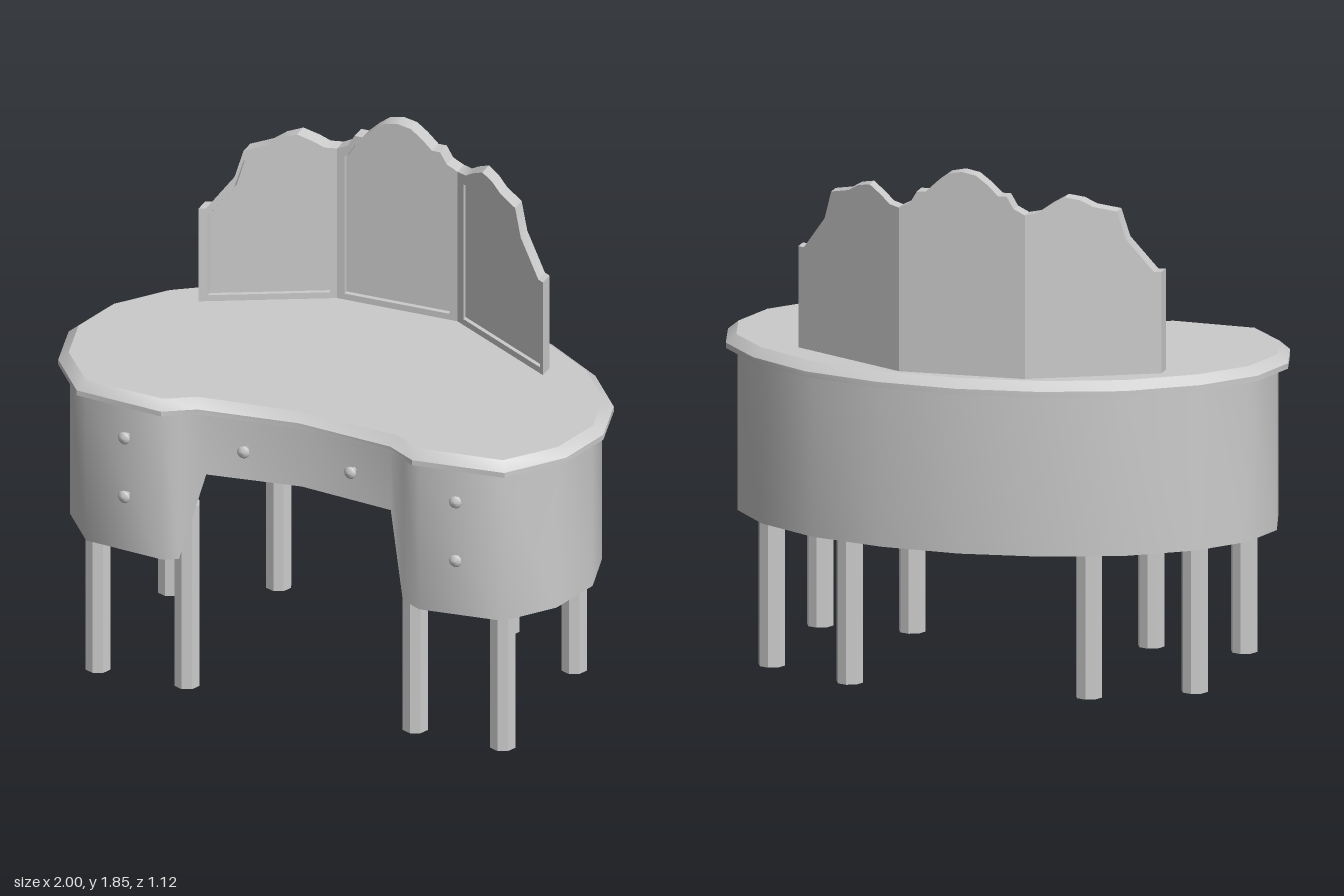
import * as THREE from 'three';
import { toCreasedNormals, mergeGeometries } from 'three/addons/utils/BufferGeometryUtils.js';

const material = new THREE.MeshStandardMaterial({ color: 0xcccccc });

function addMesh(parent, name, geometry) {
  const mesh = new THREE.Mesh(geometry, material);
  mesh.name = name;
  parent.add(mesh);
  return mesh;
}

// Half outline from back centre to front centre, closed by mirroring in x.
function mirrorLoop(half) {
  const other = half.slice(1, -1).reverse().map(([x, ...rest]) => [-x, ...rest]);
  return [...half, ...other];
}

// Collects triangles into a geometry.
function triangleBuilder() {
  const data = [];
  const tri = (a, b, c) => data.push(...a, ...b, ...c);
  const quadBand = (low, high) => low.forEach((p, i) => {
    const j = (i + 1) % low.length;
    tri(p, high[i], high[j]);
    tri(p, high[j], low[j]);
  });
  const build = (crease) => {
    const g = new THREE.BufferGeometry();
    g.setAttribute('position', new THREE.Float32BufferAttribute(data, 3));
    return toCreasedNormals(g, crease);
  };
  return { tri, quadBand, build };
}

// Kidney-shaped slab with a bevelled edge and a flat top.
function tabletop() {
  const outer = mirrorLoop([[0, -0.56], [0.29, -0.53], [0.57, -0.44], [0.8, -0.28], [0.95, -0.09],
    [1, 0.12], [0.95, 0.33], [0.8, 0.52], [0.47, 0.555], [0.36, 0.49], [0, 0.45]]);
  const inner = mirrorLoop([[0, -0.523], [0.29, -0.493], [0.56, -0.402], [0.78, -0.25], [0.915, -0.08],
    [0.963, 0.12], [0.915, 0.32], [0.78, 0.487], [0.48, 0.517], [0.375, 0.455], [0, 0.42]]);
  const ring = (t, y) => outer.map(([x, z], i) =>
    [x + (inner[i][0] - x) * t, y, z + (inner[i][1] - z) * t]);
  const rings = [ring(1.2, 1.083), ring(0, 1.083), ring(0, 1.102), ring(1, 1.132)];
  const b = triangleBuilder();
  for (let i = 0; i < rings.length - 1; i++) b.quadBand(rings[i], rings[i + 1]);
  const top = rings[rings.length - 1];
  top.forEach((p, i) => b.tri([0, 1.132, 0], top[(i + 1) % top.length], p));
  return b.build(0.55);
}

// Curved cabinet wall with a kneehole and a sloping underside: [x, z, bottom y].
function cabinet() {
  const half = [[0, -0.517, 0.51], [0.285, -0.487, 0.51], [0.555, -0.403, 0.51], [0.775, -0.255, 0.51],
    [0.91, -0.08, 0.51], [0.96, 0.12, 0.51], [0.91, 0.32, 0.51], [0.78, 0.485, 0.51],
    [0.48, 0.517, 0.51], [0.4, 0.474, 0.51], [0.345, 0.45, 0.835], [0, 0.42, 0.843]];
  const n = half.length, left = n - 2, right = n;
  const loop = mirrorLoop(half);
  // the right side of the kneehole splays a little wider
  loop[right + 1] = [-0.43, 0.49, 0.51];
  const low = loop.map(([x, z, y]) => [x, y, z]);
  const high = loop.map(([x, z]) => [x, 1.09, z]);
  const b = triangleBuilder();
  b.quadBand(low, high);
  // underside fans out from the two upper kneehole corners
  for (let i = 0; i < left - 1; i++) b.tri(low[left], low[i], low[i + 1]);
  for (let i = right + 1; i < low.length; i++) b.tri(low[right], low[i], low[(i + 1) % low.length]);
  b.tri(low[0], low[left], low[n - 1]);
  b.tri(low[0], low[n - 1], low[right]);
  return b.build(0.9);
}

// Scalloped crest of the mirror, for x >= 0.
const crest = [[0, 1.85], [0.05, 1.84], [0.09, 1.81], [0.13, 1.772], [0.16, 1.772], [0.185, 1.73],
  [0.225, 1.71], [0.265, 1.715], [0.3, 1.74], [0.35, 1.768], [0.4, 1.755], [0.44, 1.73],
  [0.515, 1.71], [0.543, 1.61], [0.632, 1.49], [0.655, 1.49]];

function crestHeight(x) {
  const ax = Math.abs(x);
  const i = Math.max(1, crest.findIndex(([cx]) => cx >= ax - 1e-6));
  const [x0, y0] = crest[i - 1], [x1, y1] = crest[i];
  return y0 + (y1 - y0) * (ax - x0) / (x1 - x0);
}

// Closed outline between x0 and x1 that follows the crest, lowered by drop.
function crestOutline(x0, x1, bottom, drop) {
  const xs = crest.flatMap(([x]) => (x ? [-x, x] : [0]))
    .filter((x) => x > x0 + 0.002 && x < x1 - 0.002).sort((a, b) => b - a);
  const top = [x1, ...xs, x0].map((x) => new THREE.Vector2(x, crestHeight(x) - drop));
  return [new THREE.Vector2(x0, bottom), new THREE.Vector2(x1, bottom), ...top];
}

// Backing board plus a raised frame, slanted in z so a panel runs from zStart to zEnd.
function mirrorPanel([x0, x1], [h0, h1], [zStart, zEnd]) {
  const board = new THREE.Shape(crestOutline(x0, x1, 1.13, 0));
  const frame = new THREE.Shape(crestOutline(x0, x1, 1.13, 0));
  frame.holes.push(new THREE.Path(crestOutline(h0, h1, 1.155, 0.038)));
  const back = new THREE.ExtrudeGeometry(board, { depth: 0.04, bevelEnabled: false });
  const front = new THREE.ExtrudeGeometry(frame, { depth: 0.018, bevelEnabled: false });
  front.translate(0, 0, 0.04);
  const g = mergeGeometries([back, front]);
  const p = g.attributes.position;
  for (let i = 0; i < p.count; i++) {
    const t = (p.getX(i) - x0) / (x1 - x0);
    p.setZ(i, p.getZ(i) - 0.058 + zStart + (zEnd - zStart) * t);
  }
  g.computeVertexNormals();
  return toCreasedNormals(g, 0.5);
}

export function createModel() {
  const model = new THREE.Group();
  model.name = 'dressingTable';
  addMesh(model, 'tabletop', tabletop());
  addMesh(model, 'cabinet', cabinet());

  // folding mirror
  const mirror = new THREE.Group();
  mirror.name = 'mirror';
  model.add(mirror);
  addMesh(mirror, 'centreMirror', mirrorPanel([-0.225, 0.225], [-0.198, 0.195], [-0.42, -0.42]));
  addMesh(mirror, 'rightMirror', mirrorPanel([-0.655, -0.225], [-0.626, -0.247], [-0.21, -0.42]));
  addMesh(mirror, 'leftMirror', mirrorPanel([0.225, 0.655], [0.255, 0.64], [-0.42, -0.16]));

  // legs: [name, x, z, height]
  const legs = [['frontInnerLeg', 0.427, 0.427, 0.7], ['frontOuterLeg', 0.757, 0.433, 0.6],
    ['backInnerLeg', 0.427, -0.38, 0.58], ['backOuterLeg', 0.755, -0.2, 0.56]];
  // knobs: [x, y, wall z, turn about y]
  const knobs = [[0.617, 0.957, 0.5, 0.1], [0.617, 0.73, 0.5, 0.1], [0.202, 0.957, 0.437, -0.09]];
  const knobGeometry = new THREE.LatheGeometry(
    [[0.012, -0.01], [0.009, 0.016], [0.022, 0.022], [0.023, 0.03], [0.015, 0.037], [0, 0.04]]
      .map(([r, y]) => new THREE.Vector2(r, y)), 12).rotateX(Math.PI / 2);

  for (const side of [1, -1]) {
    for (const [name, x, z, height] of legs) {
      const g = toCreasedNormals(new THREE.CylinderGeometry(0.047, 0.047, height, 8), 0.3);
      addMesh(model, name, g).position.set(side * x, height / 2, z);
    }
    for (const [x, y, z, turn] of knobs) {
      const knob = addMesh(model, 'drawerKnob', knobGeometry);
      knob.position.set(side * x, y, z);
      knob.rotation.y = side * turn;
    }
  }
  return model;
}
